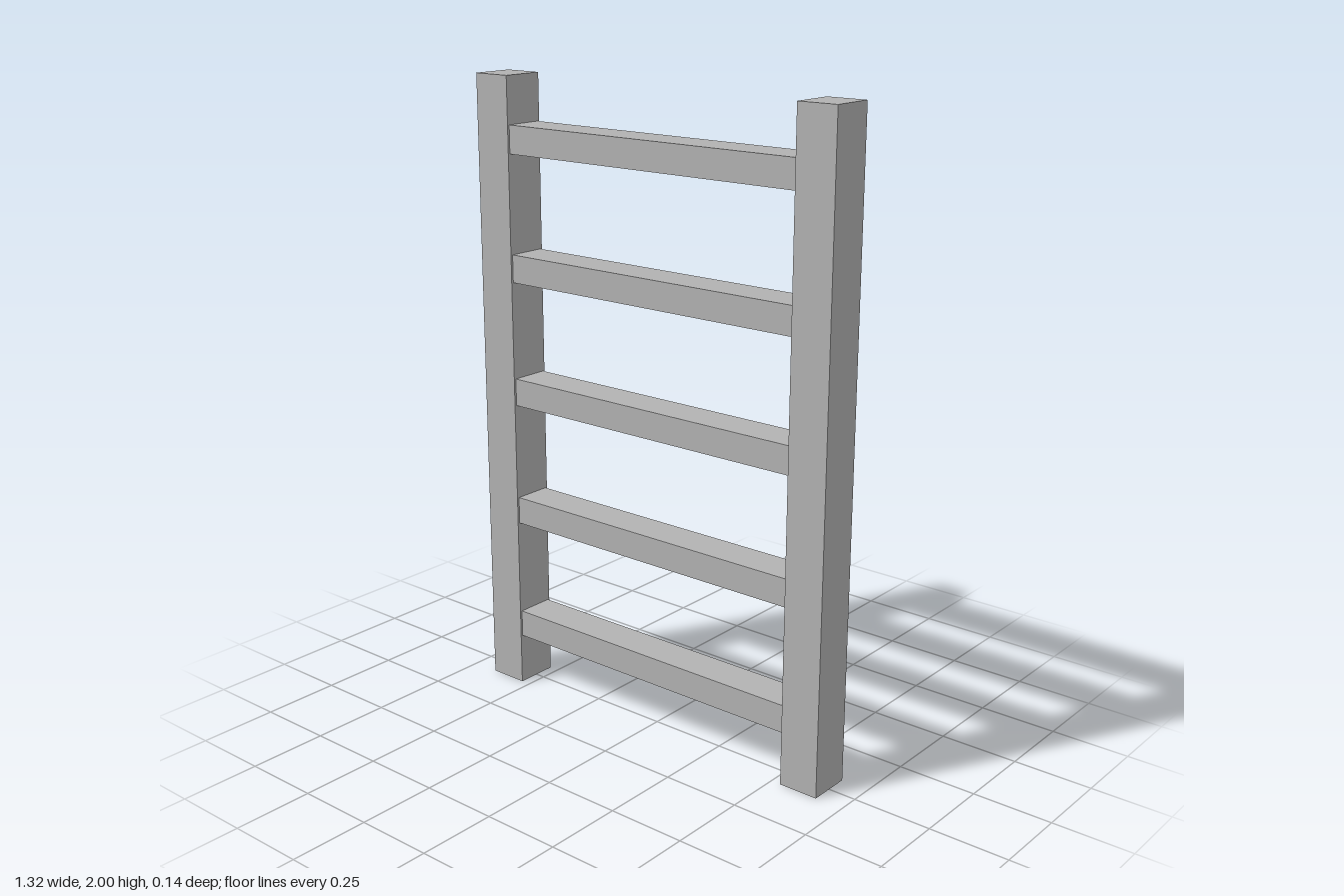
import * as THREE from 'three';

export function createModel() {
  const group = new THREE.Group();
  group.name = 'ladder';
  const grey = new THREE.MeshStandardMaterial({ color: 0xb2b2b2 });
  grey.name = 'plain grey';

  const addBox = (name, size, position) => {
    const mesh = new THREE.Mesh(new THREE.BoxGeometry(...size), grey);
    mesh.name = name;
    mesh.position.set(...position);
    group.add(mesh);
  };

  // Upright posts, mirrored left and right
  for (const side of [-1, 1]) {
    addBox(side > 0 ? 'leftPost' : 'rightPost', [0.128, 2, 0.138], [side * 0.596, 1, 0]);
  }

  // Five evenly spaced rungs, ending on the inner faces of the posts
  for (let i = 0; i < 5; i++) {
    addBox(`rung${i + 1}`, [1.064, 0.088, 0.124], [0, 0.21 + i * 0.3995, 0]);
  }
  return group;
}
